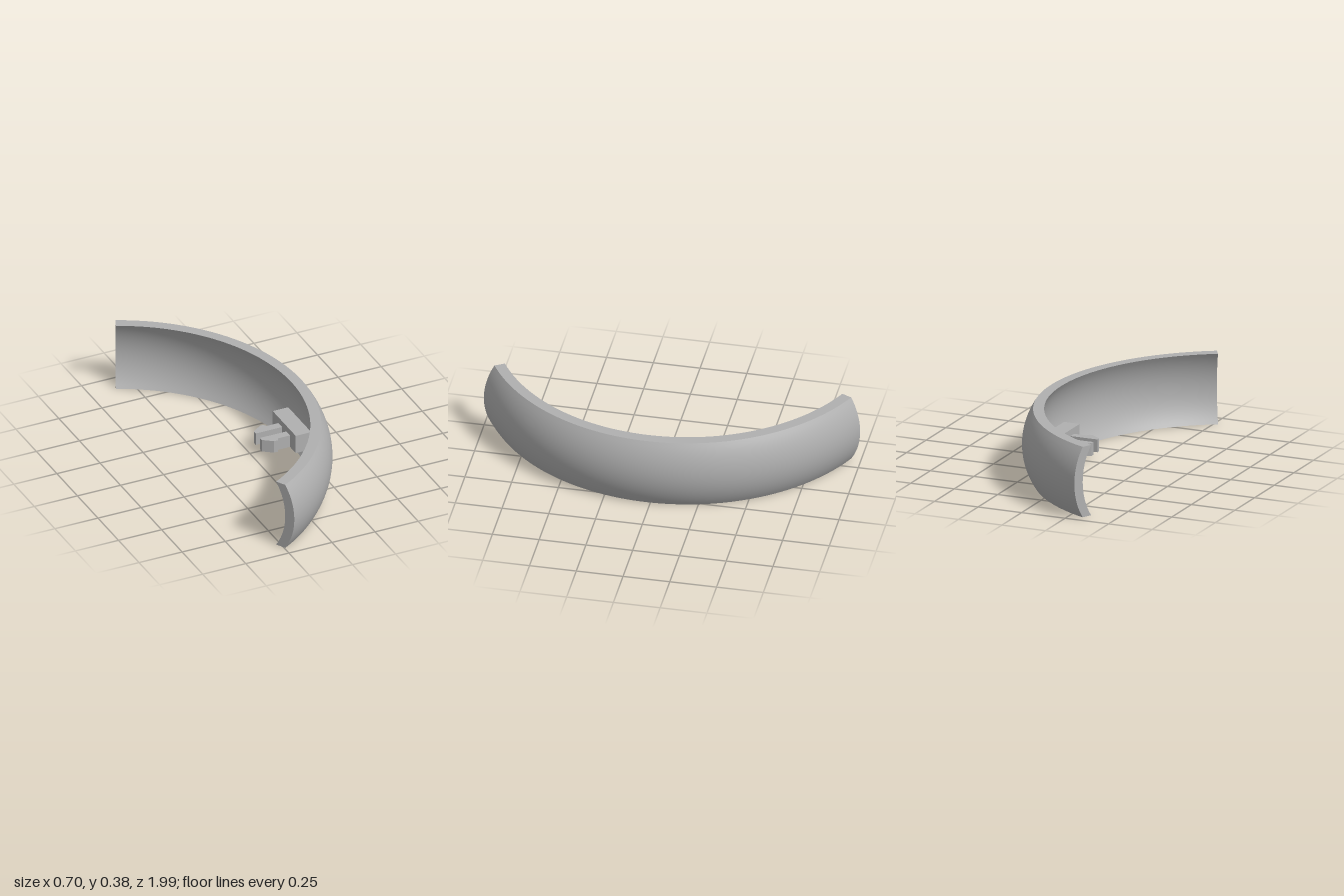
import * as THREE from 'three';
import { toCreasedNormals } from 'three/addons/utils/BufferGeometryUtils.js';

const HEIGHT = 0.385, MID = HEIGHT / 2;
const CENTER_X = -0.774, CENTER_Z = 0.02;   // axis of the curved band
const OUTER = 1.123, THICK = 0.058, BULGE = 0.348;
const START = THREE.MathUtils.degToRad(29.8), END = THREE.MathUtils.degToRad(155.2);

// One curved side of the band's cross-section, from bottom to top
function sideCurve(radius, steps = 20) {
  const points = [];
  for (let i = 0; i <= steps; i++) {
    const y = (HEIGHT * i) / steps;
    const sag = BULGE - Math.sqrt(BULGE ** 2 - (y - MID) ** 2);
    points.push(new THREE.Vector2(radius - sag, y));
  }
  return points;
}

export function createModel() {
  const model = new THREE.Group();
  const grey = new THREE.MeshStandardMaterial({ color: 0xb0b0b0 });
  grey.name = 'grey';

  const add = (name, geometry, parent = model) => {
    const mesh = new THREE.Mesh(geometry, grey);
    mesh.name = name;
    parent.add(mesh);
    return mesh;
  };

  // Bulging curved band
  const band = new THREE.Group();
  band.name = 'curvedBand';
  band.position.set(CENTER_X, 0, CENTER_Z);
  model.add(band);

  const profile = [...sideCurve(OUTER), ...sideCurve(OUTER - THICK).reverse()];
  const closed = [...profile, profile[0].clone()];
  const shell = new THREE.LatheGeometry(closed, 96, START, END - START);
  add('bandShell', toCreasedNormals(shell, 0.6), band);

  // Flat end faces of the band
  const endFace = (side) => new THREE.ShapeGeometry(
    new THREE.Shape(profile.map((p) => new THREE.Vector2(p.x * side, p.y))));
  add('frontEnd', endFace(1).rotateY(START - Math.PI / 2), band);
  add('backEnd', endFace(-1).rotateY(END + Math.PI / 2), band);

  // Mounting plate on the inner wall
  const plate = add('mountingPlate', new THREE.BoxGeometry(0.09, 0.105, 0.28));
  plate.position.set(0.235, 0.0925, CENTER_Z);

  // Pair of hooked clip prongs, mirrored about the plate's middle
  const outline = [[0.19, 0.025], [0.19, 0.07], [0.12, 0.07], [0.112, 0.087],
    [0.09, 0.087], [0.037, 0.048], [0.037, 0.025]];
  for (const side of [1, -1]) {
    const shape = new THREE.Shape(outline.map(([x, z]) => new THREE.Vector2(x, z * side)));
    const prong = new THREE.ExtrudeGeometry(shape, { depth: 0.07, bevelEnabled: false });
    prong.rotateX(-Math.PI / 2);
    add(side > 0 ? 'backProng' : 'frontProng', prong).position.set(0, 0.04, CENTER_Z);
  }
  return model;
}
